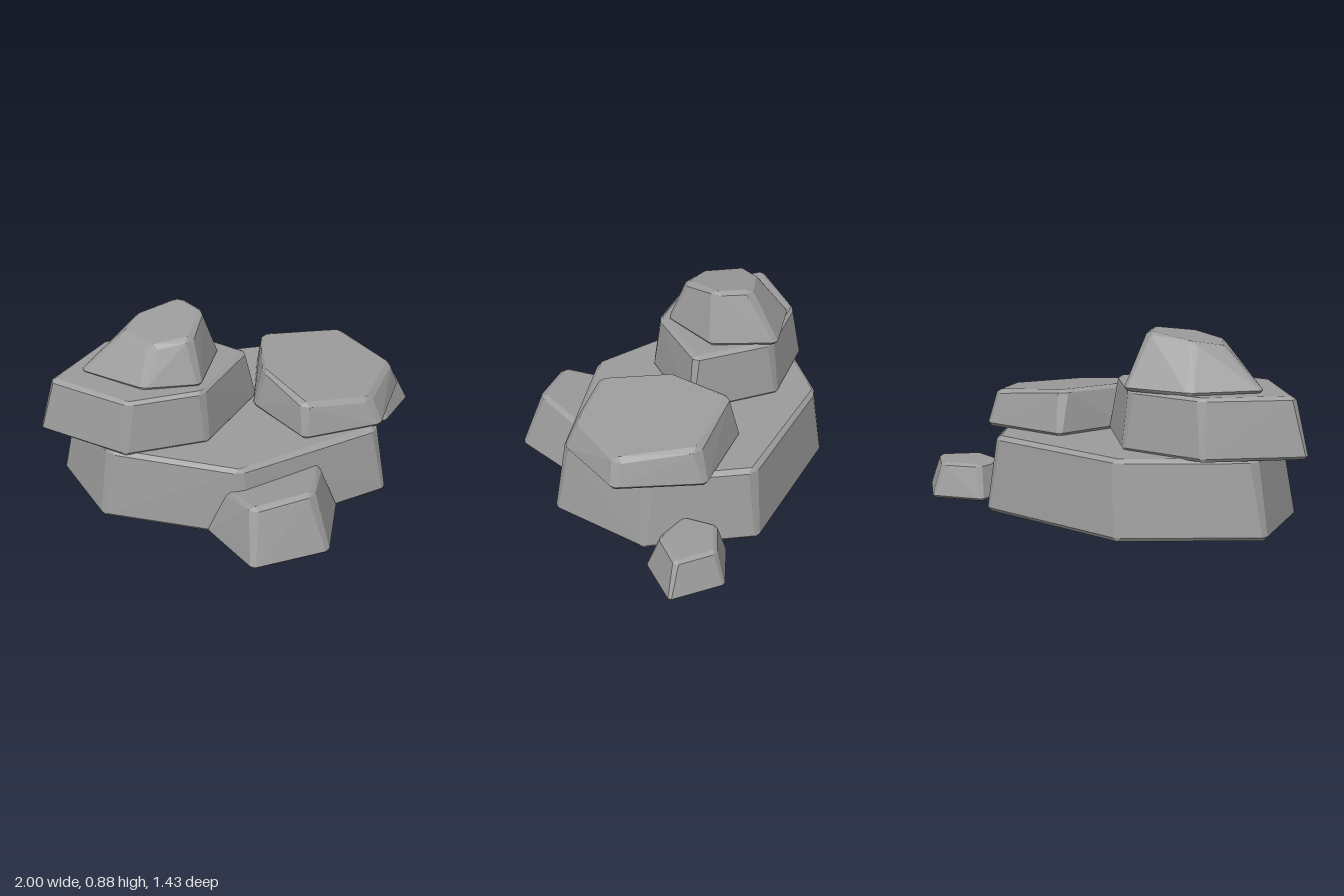
import * as THREE from 'three';
import { ConvexGeometry } from 'three/addons/geometries/ConvexGeometry.js';

const stone = new THREE.MeshStandardMaterial({ color: 0x9c9c9c });
stone.name = 'stone grey';

// Chamfered rock: foot and crown are matching [x, z] outlines; the crown lies
// on the plane y = h + sx * x + sz * z.
function rock(name, y0, [h, sx, sz], bevel, foot, crown) {
  const points = [];
  const n = foot.length;
  const addRing = (outline, yAt, b, yEdge) => {
    outline.forEach((p, i) => {
      const c = new THREE.Vector2(...p);
      const prev = new THREE.Vector2(...outline[(i + n - 1) % n]).sub(c).setLength(b);
      const next = new THREE.Vector2(...outline[(i + 1) % n]).sub(c).setLength(b);
      const y = yAt(c.x, c.y);
      // two points on the walls beside the corner, one inset on the cap
      for (const e of [prev, next]) {
        points.push(new THREE.Vector3(c.x + e.x, y + yEdge, c.y + e.y));
      }
      const inner = c.clone().add(prev).add(next);
      points.push(new THREE.Vector3(inner.x, yAt(inner.x, inner.y), inner.y));
    });
  };
  addRing(foot, () => y0, bevel * 0.6, bevel * 0.6);
  addRing(crown, (x, z) => h + sx * x + sz * z, bevel, -bevel * 0.6);
  const mesh = new THREE.Mesh(new ConvexGeometry(points), stone);
  mesh.name = name;
  return mesh;
}

export function createModel() {
  const group = new THREE.Group();
  group.name = 'rockPile';

  group.add(
    // wide bottom slab
    rock('baseRock', 0, [0.36, 0, 0], 0.03,
      [[-0.36, -0.72], [0.44, -0.665], [0.715, -0.2], [0.6, 0.3], [-0.18, 0.46], [-0.78, 0.12], [-0.89, -0.33]],
      [[-0.34, -0.68], [0.41, -0.63], [0.66, -0.2], [0.56, 0.265], [-0.18, 0.425], [-0.73, 0.1], [-0.83, -0.32]]),
    // slab resting on the base
    rock('upperSlab', 0.355, [0.63, 0, 0], 0.025,
      [[-1.01, -0.18], [-0.66, 0.155], [-0.26, 0.155], [0.08, -0.18], [-0.24, -0.51], [-0.66, -0.495]],
      [[-0.95, -0.18], [-0.63, 0.13], [-0.27, 0.13], [0.03, -0.18], [-0.25, -0.475], [-0.63, -0.46]]),
    // summit stone
    rock('peakRock', 0.625, [0.895, 0.15, -0.08], 0.03,
      [[-0.79, -0.2], [-0.54, 0.04], [-0.27, 0.08], [-0.11, -0.21], [-0.24, -0.5], [-0.56, -0.445]],
      [[-0.61, -0.2], [-0.48, -0.02], [-0.29, 0.01], [-0.18, -0.2], [-0.26, -0.36], [-0.48, -0.32]]),
    // tilted slab on the other side
    rock('tiltedSlab', 0.355, [0.568, -0.1, -0.055], 0.03,
      [[0.035, -0.09], [0.16, -0.465], [0.605, -0.465], [0.795, -0.09], [0.58, 0.25], [0.185, 0.265]],
      [[0.08, -0.09], [0.17, -0.42], [0.585, -0.425], [0.76, -0.09], [0.535, 0.215], [0.19, 0.235]]),
    // boulder leaning on the front
    rock('frontBoulder', 0, [0.188, 0.07, 0.17], 0.03,
      [[-0.2, 0.715], [0.18, 0.69], [0.33, 0.35], [0.2, 0.12], [-0.2, 0.12], [-0.33, 0.37]],
      [[-0.175, 0.625], [0.13, 0.605], [0.25, 0.35], [0.15, 0.16], [-0.15, 0.16], [-0.25, 0.37]]),
    // small stone behind
    rock('smallStone', 0, [0.17, 0, 0], 0.02,
      [[0.57, -0.555], [0.815, -0.64], [1.007, -0.45], [0.815, -0.26], [0.57, -0.33]],
      [[0.61, -0.525], [0.795, -0.595], [0.945, -0.45], [0.795, -0.31], [0.61, -0.36]])
  );
  return group;
}
